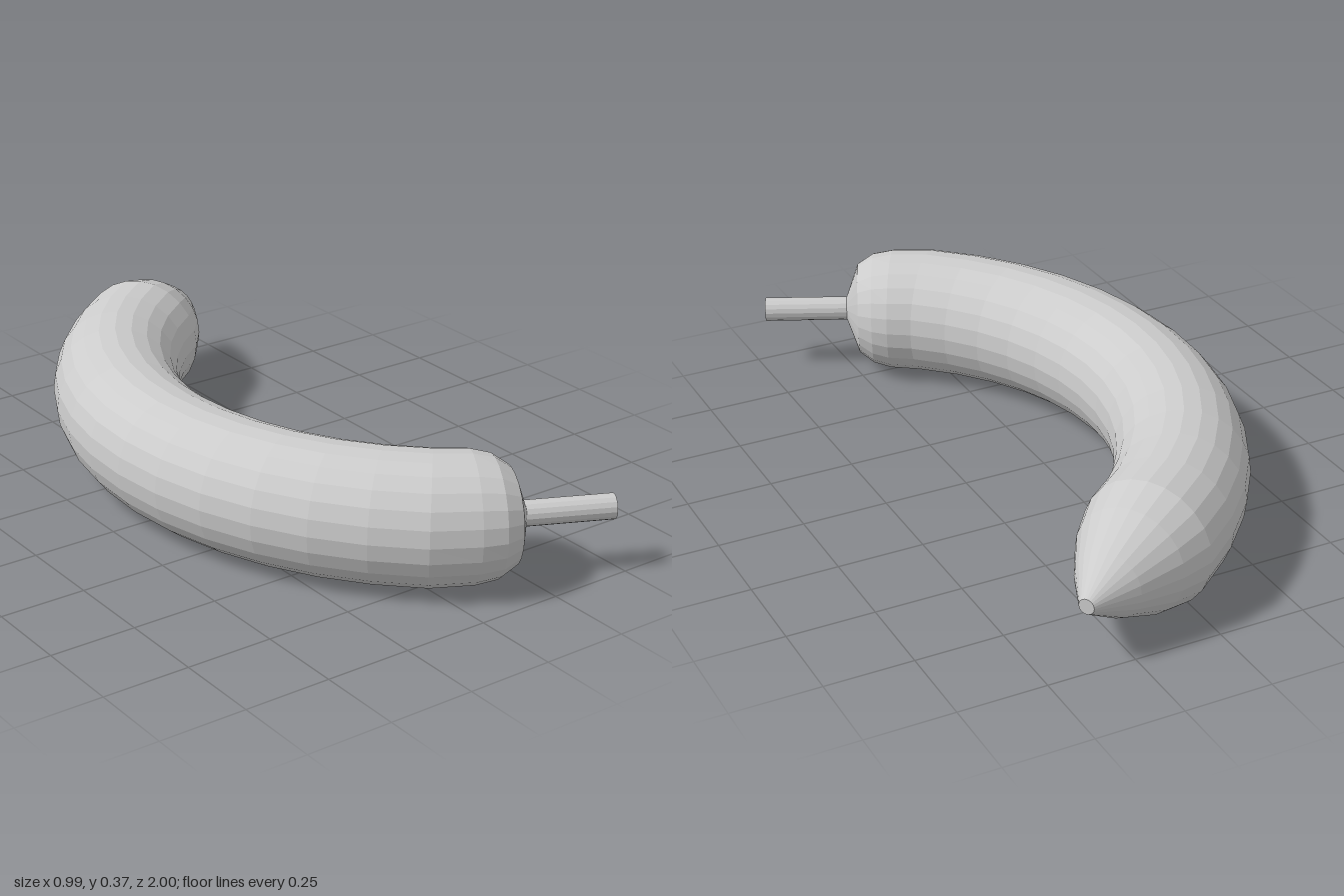
import * as THREE from 'three';

const Y = 0.187; // height of the centre line
const R = 0.187; // body radius
const SIDES = 24;

// Loft round cross-sections; each section is { x, z, tx, tz, r }
function loft(sections) {
  const pos = [], index = [];
  sections.forEach(({ x, z, tx, tz, r }, i) => {
    const len = Math.hypot(tx, tz);
    for (let j = 0; j < SIDES; j++) {
      const a = (j / SIDES) * Math.PI * 2;
      const side = (r * Math.cos(a)) / len;
      pos.push(x + side * tz, Y + r * Math.sin(a), z - side * tx);
      if (i === 0) continue;
      const k = (j + 1) % SIDES, p = (i - 1) * SIDES, q = i * SIDES;
      index.push(p + j, p + k, q + k, p + j, q + k, q + j);
    }
  });
  const geo = new THREE.BufferGeometry();
  geo.setAttribute('position', new THREE.Float32BufferAttribute(pos, 3));
  geo.setIndex(index);
  geo.computeVertexNormals();
  return geo;
}

function bodySections() {
  const out = [];
  // rounded front end, from its middle outwards: x, z, facing x, facing z, radius
  for (const [x, z, nx, nz, r] of [
    [0.25, 0.857, 0.91, 0.41, 0],
    [0.25, 0.857, 0.91, 0.41, 0.036],
    [0.216, 0.842, 0.91, 0.41, 0.138],
    [0.175, 0.82, 0.9, 0.44, 0.17],
    [0.125, 0.79, 0.87, 0.49, 0.183],
  ]) out.push({ x, z, tx: -nx, tz: -nz, r });

  // curved middle: a circular arc
  const cx = 0.65, radius = 0.96, a0 = 0.873, a1 = -0.967, steps = 13;
  for (let i = 0; i <= steps; i++) {
    const a = a0 + ((a1 - a0) * i) / steps;
    out.push({
      x: cx - radius * Math.cos(a), z: radius * Math.sin(a),
      tx: -Math.sin(a), tz: -Math.cos(a), r: R,
    });
  }

  // straight tapering tip: distance along, radius
  const end = out[out.length - 1];
  for (const [d, r] of [[0.1, 0.157], [0.223, 0.096], [0.338, 0.022], [0.338, 0]]) {
    out.push({ ...end, x: end.x + end.tx * d, z: end.z + end.tz * d, r });
  }
  return out;
}

export function createModel() {
  const group = new THREE.Group();
  const material = new THREE.MeshStandardMaterial({ color: 0xcccccc, flatShading: true });

  const body = new THREE.Mesh(loft(bodySections()), material);
  body.name = 'curvedBody';
  group.add(body);

  // Thin stem set into the rounded end
  const from = new THREE.Vector3(0.22, Y, 0.843);
  const to = new THREE.Vector3(0.478, Y, 0.963);
  const dir = to.clone().sub(from);
  const stem = new THREE.Mesh(new THREE.CylinderGeometry(0.036, 0.036, dir.length(), 16), material);
  stem.name = 'stem';
  stem.position.copy(from).add(to).multiplyScalar(0.5);
  stem.quaternion.setFromUnitVectors(new THREE.Vector3(0, 1, 0), dir.normalize());
  group.add(stem);

  return group;
}
